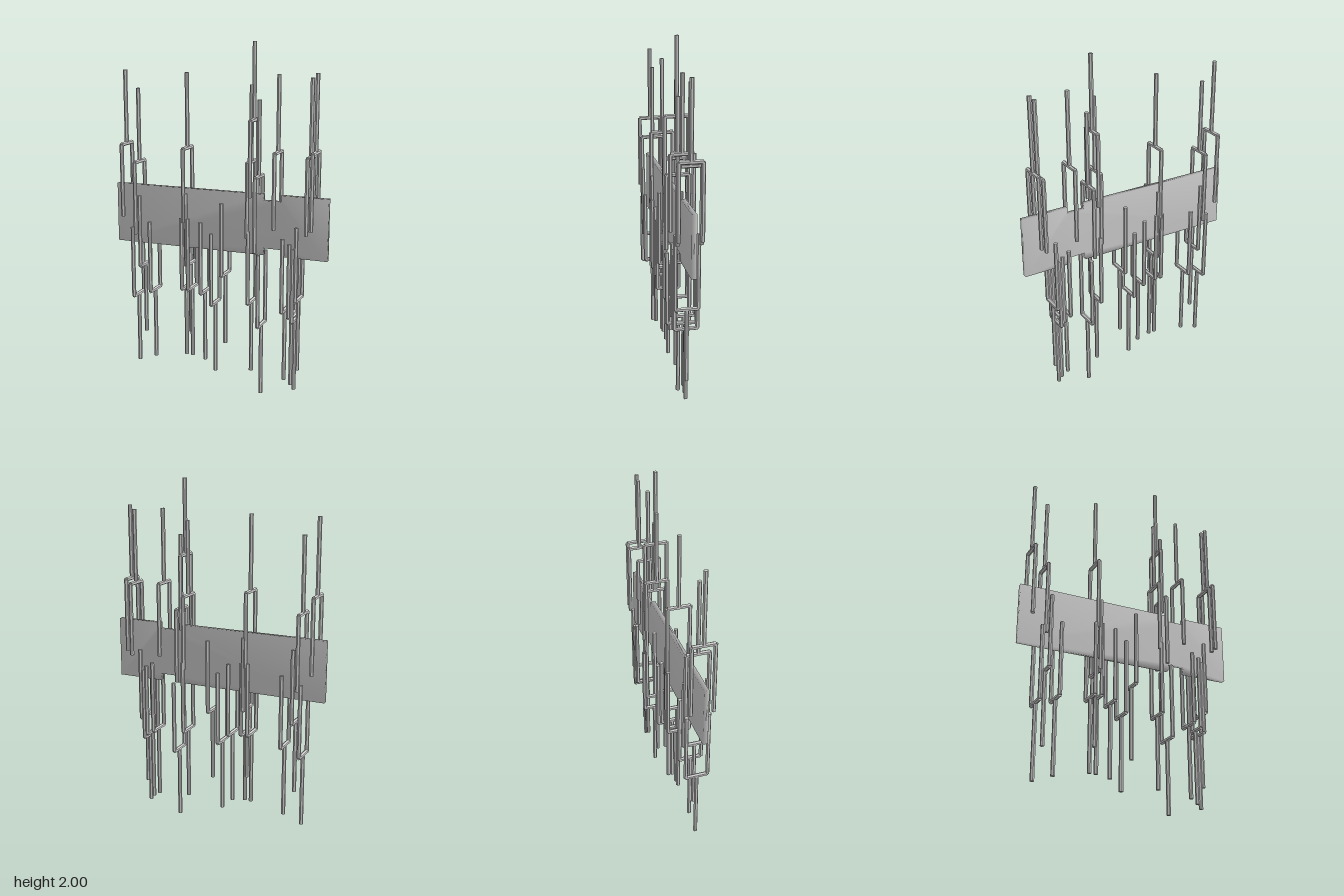
import * as THREE from 'three';
import { mergeVertices } from 'three/addons/utils/BufferGeometryUtils.js';

const R = 0.012;      // rod radius
const SPREAD = 0.063; // prong offset in z
const HALF = 0.42;    // length of stem and of each prong

// [x, height of the crossbar]
const UPPER = [[-0.58, 1.41], [-0.5, 1.31], [-0.195, 1.405], [0.19, 1.35], [0.205, 1.58],
  [0.235, 1.27], [0.345, 1.41], [0.53, 1.395], [0.557, 1.42]];
const LOWER = [[-0.52, 0.51], [-0.473, 0.7], [-0.41, 0.55], [-0.208, 0.59], [-0.18, 0.735],
  [-0.17, 0.59], [-0.09, 0.575], [-0.025, 0.515], [0.037, 0.695], [0.197, 0.55], [0.257, 0.42],
  [0.397, 0.525], [0.437, 0.5], [0.457, 0.475], [0.475, 0.595]];

export function createModel() {
  const group = new THREE.Group();
  group.name = 'forkedRodSculpture';
  const rodMat = new THREE.MeshStandardMaterial({ color: 0xcccccc, flatShading: true });
  const plateMat = new THREE.MeshStandardMaterial({ color: 0xcccccc });
  const rodGeo = new THREE.CylinderGeometry(R, R, HALF, 6);
  const barGeo = new THREE.CylinderGeometry(R, R, SPREAD * 2, 6).rotateX(Math.PI / 2);

  // Fork: one stem, a crossbar and two prongs straddling the plate
  function fork(name, x, y, dir) {
    const f = new THREE.Group();
    f.name = name;
    const add = (part, geo, py, pz) => {
      const m = new THREE.Mesh(geo, rodMat);
      m.name = part;
      m.position.set(0, py, pz);
      f.add(m);
    };
    add('stem', rodGeo, dir * HALF / 2, 0);
    add('crossbar', barGeo, 0, 0);
    for (const s of [-1, 1]) add('prong', rodGeo, -dir * HALF / 2, s * SPREAD);
    f.position.set(x, y, 0);
    group.add(f);
  }
  UPPER.forEach(([x, y], i) => fork('upperFork' + (i + 1), x, y, 1));
  LOWER.forEach(([x, y], i) => fork('lowerFork' + (i + 1), x, y, -1));

  // Plate with a notch in its top and bottom edges, shaded across its corners
  const outline = [[-0.64, 0.83], [0.267, 0.83], [0.267, 0.87], [0.368, 0.87], [0.368, 0.83], [0.638, 0.83],
    [0.638, 1.175], [0.368, 1.175], [0.368, 1.14], [0.267, 1.14], [0.267, 1.175], [-0.64, 1.175]];
  const shape = new THREE.Shape(outline.map(([x, y]) => new THREE.Vector2(x, y)));
  let plateGeo = new THREE.ExtrudeGeometry(shape, { depth: 0.028, bevelEnabled: false });
  plateGeo.translate(0, 0, -0.014);
  plateGeo.deleteAttribute('normal');
  plateGeo.deleteAttribute('uv');
  plateGeo = mergeVertices(plateGeo);
  plateGeo.computeVertexNormals();
  const plate = new THREE.Mesh(plateGeo, plateMat);
  plate.name = 'notchedPlate';
  group.add(plate);

  return group;
}
